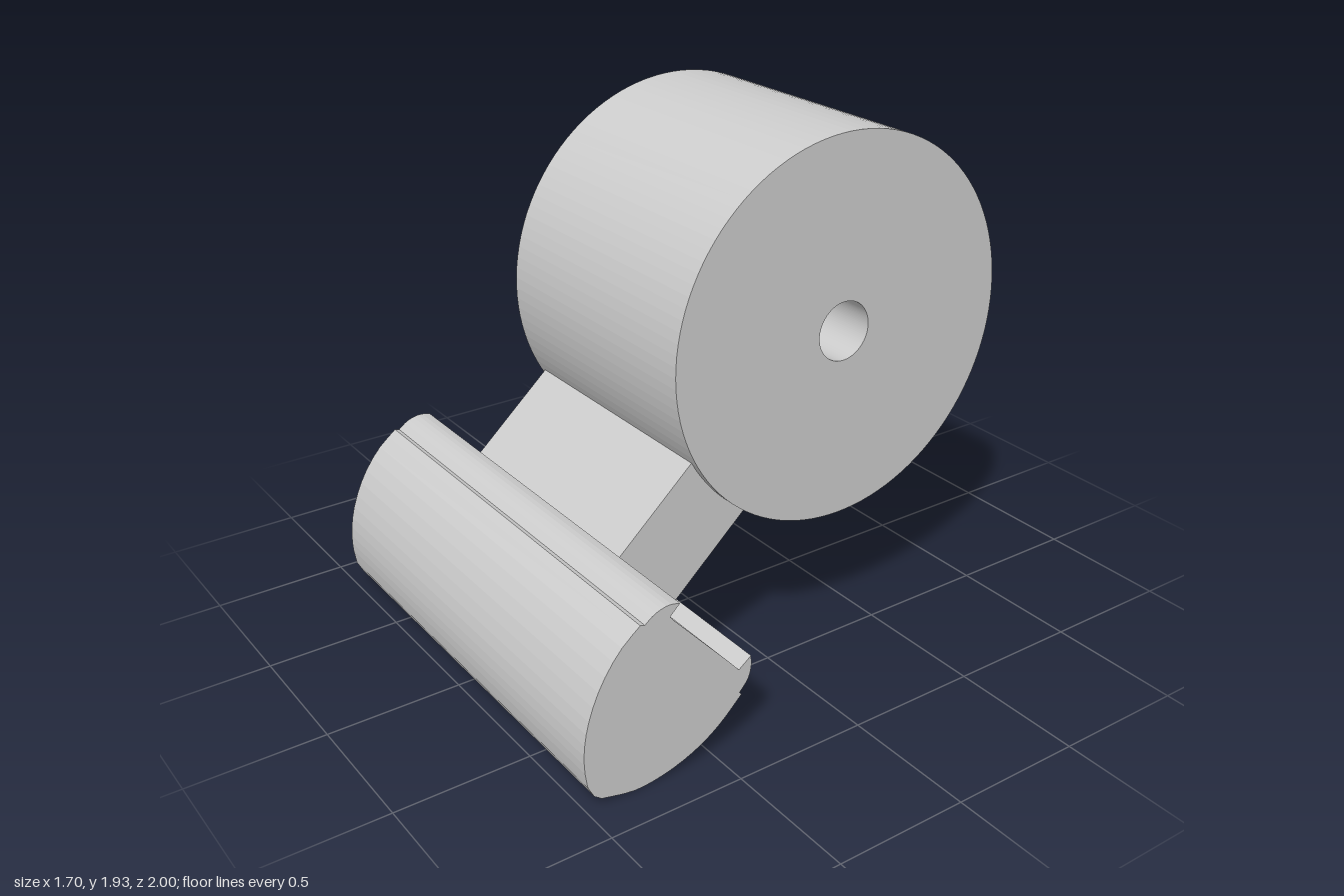
import * as THREE from 'three';

const material = new THREE.MeshStandardMaterial({ color: 0xcccccc, flatShading: true });

// Extrudes a side profile drawn in (z, y) along x, centred on x = 0
function sidePart(name, shape, width, curveSegments = 6) {
  const geometry = new THREE.ExtrudeGeometry(shape, { depth: width, bevelEnabled: false, curveSegments });
  geometry.translate(0, 0, -width / 2);
  geometry.rotateY(-Math.PI / 2);
  const mesh = new THREE.Mesh(geometry, material);
  mesh.name = name;
  return mesh;
}

const points = (list) => list.map(([z, y]) => new THREE.Vector2(z, y));
const smooth = (list, n) => new THREE.SplineCurve(points(list)).getPoints(n);

export function createModel() {
  const model = new THREE.Group();
  model.name = 'model';

  // Large drum with an axle hole through it
  const drum = new THREE.Shape().absarc(-0.294, 1.222, 0.706, 0, Math.PI * 2, false);
  drum.holes.push(new THREE.Path().absarc(-0.294, 1.222, 0.109, 0, Math.PI * 2, true));
  model.add(sidePart('drum', drum, 1.02, 56));

  // Slanted arm, sunk slightly into the drum
  const arm = new THREE.Shape(points([[0.252, 0.947], [0.026, 0.704], [0.432, 0.337], [0.657, 0.583]]));
  model.add(sidePart('arm', arm, 0.95));

  // Wide rounded head with a curled lip on either side of its flat back
  const head = new THREE.Shape([
    ...smooth([[0.635, 0.64], [0.68, 0.648], [0.73, 0.635], [0.768, 0.608]], 8),
    ...smooth([[0.785, 0.613], [0.865, 0.545], [0.935, 0.445], [0.98, 0.335], [0.999, 0.24], [1.0, 0.16], [0.99, 0.09]], 14),
    ...smooth([[0.968, 0.048], [0.94, 0.027]], 1),
    ...smooth([[0.865, 0.009], [0.79, 0.001], [0.68, 0.018], [0.57, 0.058], [0.475, 0.118], [0.388, 0.2]], 14),
    ...smooth([[0.396, 0.21], [0.362, 0.25], [0.349, 0.295], [0.351, 0.337]], 8),
    ...points([[0.4, 0.3], [0.432, 0.337], [0.657, 0.583], [0.673, 0.604]]),
  ]);
  model.add(sidePart('head', head, 1.7));

  return model;
}
